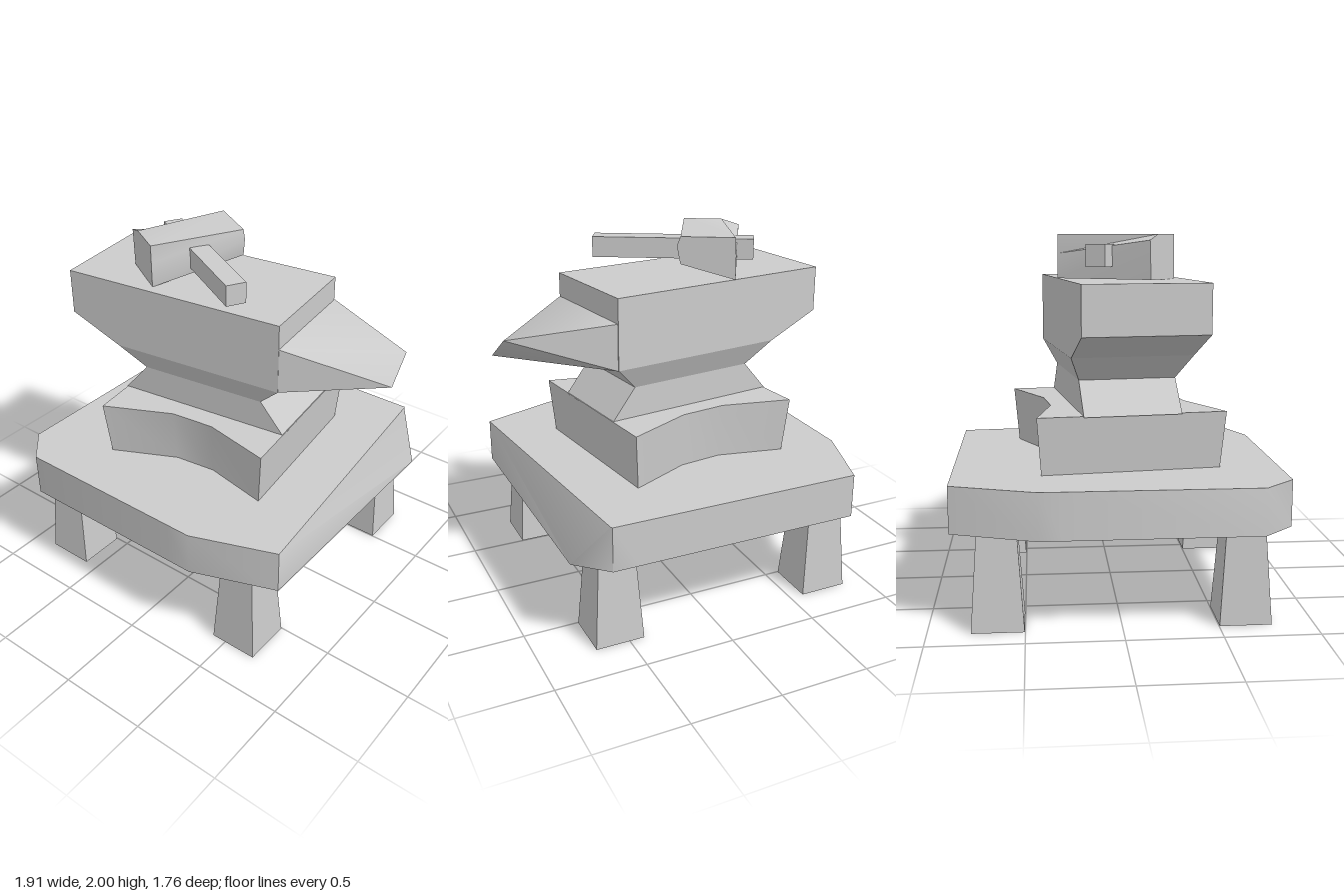
import * as THREE from 'three';
import { toCreasedNormals } from 'three/addons/utils/BufferGeometryUtils.js';
import { ConvexGeometry } from 'three/addons/geometries/ConvexGeometry.js';

const material = new THREE.MeshStandardMaterial({ color: 0xcccccc });

function part(name, geometry, parent) {
  const mesh = new THREE.Mesh(geometry, material);
  mesh.name = name;
  parent.add(mesh);
  return mesh;
}

// Closed solid through rings of [x, z] points, listed bottom to top as [y, ring]
function loft(sections, crease = 0.1) {
  const flat = sections.map(([, ring]) => ring.map(([x, z]) => new THREE.Vector2(x, z)));
  if (THREE.ShapeUtils.area(flat[0]) < 0) flat.forEach((ring) => ring.reverse());
  const n = flat[0].length;
  const last = flat.length - 1;
  const positions = [];
  const index = [];
  flat.forEach((ring, k) => ring.forEach((p) => positions.push(p.x, sections[k][0], p.y)));
  for (let k = 0; k < last; k++) {
    for (let i = 0; i < n; i++) {
      const a = k * n + i;
      const b = k * n + (i + 1) % n;
      index.push(a, b + n, b, a, a + n, b + n);
    }
  }
  for (const [a, b, c] of THREE.ShapeUtils.triangulateShape(flat[0], [])) index.push(a, b, c);
  const top = last * n;
  for (const [a, b, c] of THREE.ShapeUtils.triangulateShape(flat[last], [])) {
    index.push(top + a, top + c, top + b);
  }
  const geometry = new THREE.BufferGeometry();
  geometry.setAttribute('position', new THREE.Float32BufferAttribute(positions, 3));
  geometry.setIndex(index);
  return toCreasedNormals(geometry, crease);
}

const rect = (x0, x1, z0, z1) => [[x0, z0], [x1, z0], [x1, z1], [x0, z1]];
const scaled = (ring, s, cx, cz) => ring.map(([x, z]) => [cx + (x - cx) * s, cz + (z - cz) * s]);

export function createModel() {
  const model = new THREE.Group();
  model.name = 'anvilOnTable';

  // Four tapered legs
  for (const x of [-0.72, 0.553]) {
    for (const z of [-0.64, 0.64]) {
      const leg = part('leg', loft([
        [0, rect(-0.137, 0.137, -0.137, 0.137)],
        [0.52, rect(-0.102, 0.102, -0.102, 0.102)],
      ]), model);
      leg.position.set(x, 0, z);
    }
  }

  // Irregular slab with clipped corners; one side is cut back at the top
  const slab = (cut) => [
    [-0.96, -0.43], [-0.8, -0.88], [0.48, -0.88], [0.63, -0.88], cut, [0.8, 0.71],
    [0.34, 0.88], [0.19, 0.88], [-0.8, 0.88], [-0.96, 0.71], [-0.96, -0.3],
  ];
  part('tableTop', loft([[0.51, slab([0.8, -0.72])], [0.76, slab([0.635, -0.87])]], 0.85), model);

  // Waisted foot of the anvil, flaring upward
  const foot = [
    [-0.65, -0.43], [-0.26, -0.35], [0, -0.385], [0.36, -0.56],
    [0.49, 0.45], [0.1, 0.375], [-0.15, 0.405], [-0.52, 0.585],
  ];
  part('anvilFoot', loft([[0.755, scaled(foot, 0.95, -0.08, 0.01)], [1.07, foot]], 0.45), model);

  // Body and pinched neck, turned slightly on the table
  const anvil = new THREE.Group();
  anvil.name = 'anvilBody';
  anvil.position.set(-0.23, 0, 0.03);
  anvil.rotation.y = 0.13;
  model.add(anvil);
  part('neckAndFace', loft([
    [1.065, rect(-0.367, 0.66, -0.264, 0.264)],
    [1.24, rect(-0.217, 0.52, -0.264, 0.264)],
    [1.375, rect(-0.355, 0.655, -0.328, 0.328)],
    [1.51, rect(-0.655, 0.655, -0.328, 0.328)],
    [1.765, rect(-0.655, 0.655, -0.328, 0.328)],
  ]), anvil);

  // Horn tapering to a slanted edge
  const horn = [
    [0.46, 1.63, 0.27], [0.38, 1.63, -0.38], [0.46, 1.375, 0.27], [0.38, 1.375, -0.38],
    [0.935, 1.565, -0.205], [0.955, 1.44, -0.04],
  ].map((p) => new THREE.Vector3(...p));
  part('horn', toCreasedNormals(new ConvexGeometry(horn), 0.8), model);

  // Hammer lying on the anvil; its head is a twisted six-sided block
  const hammer = new THREE.Group();
  hammer.name = 'hammer';
  hammer.position.set(-0.34, 0, 0.005);
  hammer.rotation.y = -0.53;
  model.add(hammer);
  const backEnd = [[0.14, 2], [0.16, 1.95], [0.14, 1.85], [-0.16, 1.77], [-0.16, 1.9], [-0.155, 2]];
  const frontEnd = [[0.16, 2], [0.16, 1.9], [0.16, 1.763], [-0.145, 1.77], [-0.16, 1.97], [-0.06, 2]];
  const upright = (ring) => ring.map(([x, y]) => [x, -y]);
  const head = loft([[-0.268, upright(backEnd)], [0.268, upright(frontEnd)]], 0.7);
  head.rotateX(Math.PI / 2);
  part('hammerHead', head, hammer);

  // Handle passes through the head
  const handle = part('hammerHandle', new THREE.BoxGeometry(0.904, 0.115, 0.11), model);
  handle.position.set(-0.163, 1.892, 0.101);
  handle.rotation.y = -0.511;

  return model;
}
